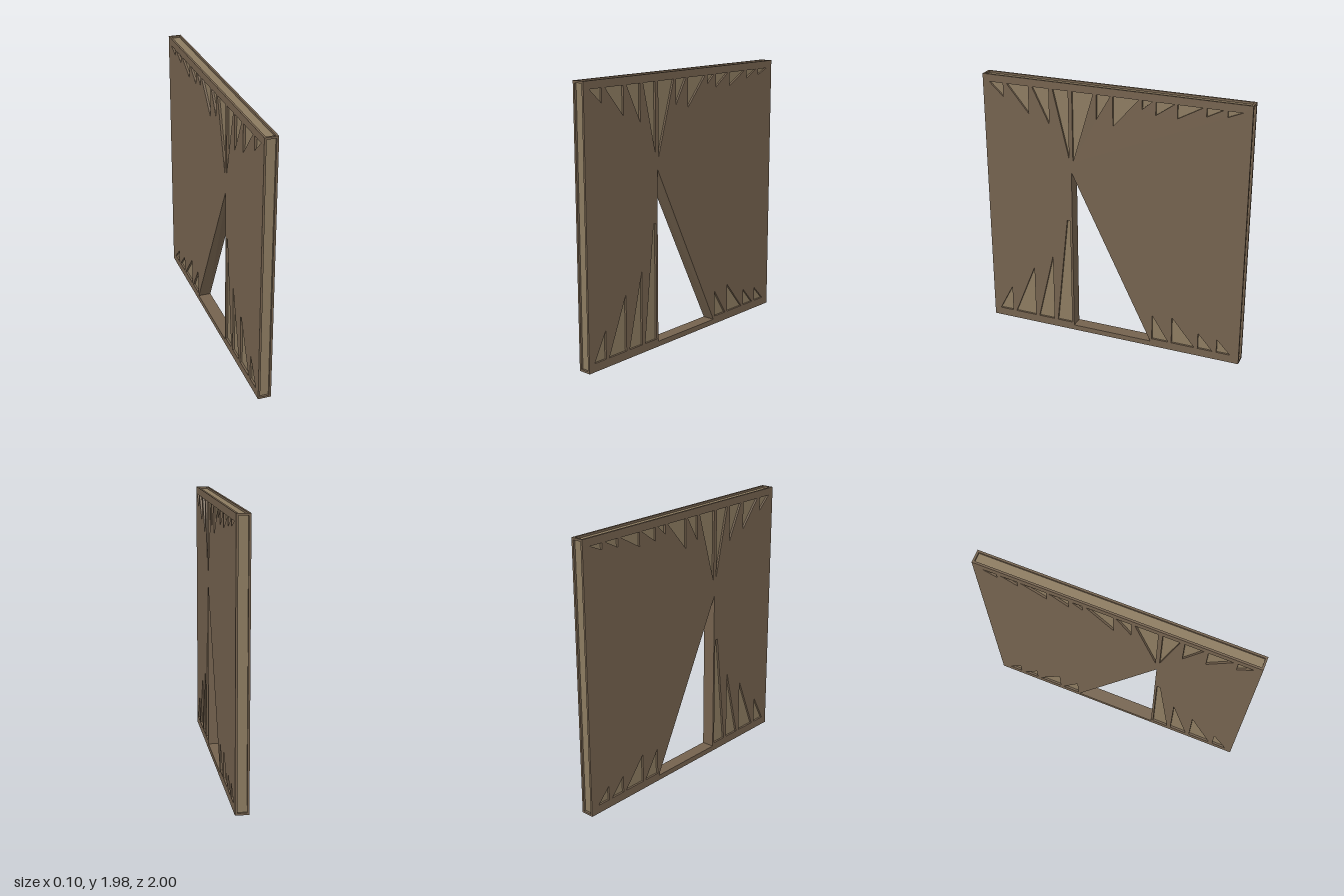
import * as THREE from 'three';

const HEIGHT = 1.98, HALF_X = 0.048, SKIN = 0.015;

// Upper slits: [z of tip side, z of other corner, tip height]
const UPPER = [
  [0.84, 0.95, 1.825], [0.64, 0.81, 1.72], [0.48, 0.61, 1.66], [0.33, 0.45, 1.42],
  [0.30, 0.14, 1.395], [0.115, 0.01, 1.745], [-0.01, -0.20, 1.71], [-0.225, -0.30, 1.86],
  [-0.325, -0.46, 1.83], [-0.48, -0.66, 1.825], [-0.685, -0.80, 1.865], [-0.83, -0.935, 1.88],
];
// Lower slits, same layout
const LOWER = [
  [0.84, 0.95, 0.27], [0.64, 0.81, 0.48], [0.48, 0.61, 0.605],
  [-0.325, -0.455, 0.265], [-0.48, -0.66, 0.28], [-0.685, -0.80, 0.19], [-0.83, -0.935, 0.17],
];
const UPPER_BASE = 1.925, LOWER_BASE = 0.062;

// Door opening corners as [z, y]; the opening is a little lower on the -x side
const door = (apex) => [[0.313, apex], [0.313, 0.04], [-0.313, 0.04]];
const DOOR_RIGHT = door(1.315), DOOR_LEFT = door(1.28);
const DOOR_CORE = [[0.32, 1.345], [0.32, 0.032], [-0.326, 0.032]];

const points = (list) => list.map(([z, y]) => new THREE.Vector2(-z, y));

// Flat slab in the z-y plane with holes, spanning x0 to x1
function slab(name, outline, holes, x0, x1, material) {
  const shape = new THREE.Shape(points(outline));
  for (const hole of holes) shape.holes.push(new THREE.Path(points(hole)));
  const geometry = new THREE.ExtrudeGeometry(shape, { depth: x1 - x0, bevelEnabled: false });
  geometry.rotateY(Math.PI / 2).translate(x0, 0, 0);
  const mesh = new THREE.Mesh(geometry, material);
  mesh.name = name;
  return mesh;
}

const rect = (inset) => [
  [1 - inset, inset], [-1 + inset, inset],
  [-1 + inset, HEIGHT - inset], [1 - inset, HEIGHT - inset],
];

export function createModel() {
  const group = new THREE.Group();
  group.name = 'wallPanel';
  const frame = new THREE.MeshStandardMaterial({ color: 0x74624e, flatShading: true });
  const infill = new THREE.MeshStandardMaterial({ color: 0x8c7b60, flatShading: true });
  const lining = frame.clone();
  lining.side = THREE.DoubleSide;

  // Lighter core, seen in the slits and along the recessed edges
  const inner = HALF_X - SKIN;
  group.add(slab('core', rect(SKIN), [DOOR_CORE], -inner, inner, infill));

  // Slit cut-outs shared by both skins
  const slits = [
    ...UPPER.map(([a, b, tip]) => [[a, UPPER_BASE], [b, UPPER_BASE], [a, tip]]),
    ...LOWER.map(([a, b, tip]) => [[a, LOWER_BASE], [b, LOWER_BASE], [a, tip]]),
    [[0.45, LOWER_BASE], [0.33, LOWER_BASE], [0.33, 0.925], [0.355, 0.925]],
  ];
  group.add(slab('rightSkin', rect(0), [DOOR_RIGHT, ...slits], inner, HALF_X, frame));
  group.add(slab('leftSkin', rect(0), [DOOR_LEFT, ...slits], -HALF_X, -inner, frame));

  // Corner bars closing the ends of the recessed edges
  for (const z of [-1, 1]) {
    for (const y of [SKIN / 2, HEIGHT - SKIN / 2]) {
      const bar = new THREE.Mesh(new THREE.BoxGeometry(inner * 2, SKIN, SKIN), frame);
      bar.position.set(0, y, z * (1 - SKIN / 2));
      bar.name = 'cornerBar';
      group.add(bar);
    }
  }

  // Door lining: three walls joining the two openings
  const vertices = [];
  for (let i = 0; i < 3; i++) {
    const j = (i + 1) % 3;
    const corner = (x, [z, y]) => [x, y, z];
    const a = corner(inner, DOOR_RIGHT[i]), b = corner(inner, DOOR_RIGHT[j]);
    const c = corner(-inner, DOOR_LEFT[j]), d = corner(-inner, DOOR_LEFT[i]);
    vertices.push(...a, ...b, ...c, ...a, ...c, ...d);
  }
  const geometry = new THREE.BufferGeometry();
  geometry.setAttribute('position', new THREE.Float32BufferAttribute(vertices, 3));
  geometry.computeVertexNormals();
  const walls = new THREE.Mesh(geometry, lining);
  walls.name = 'doorLining';
  group.add(walls);

  return group;
}
